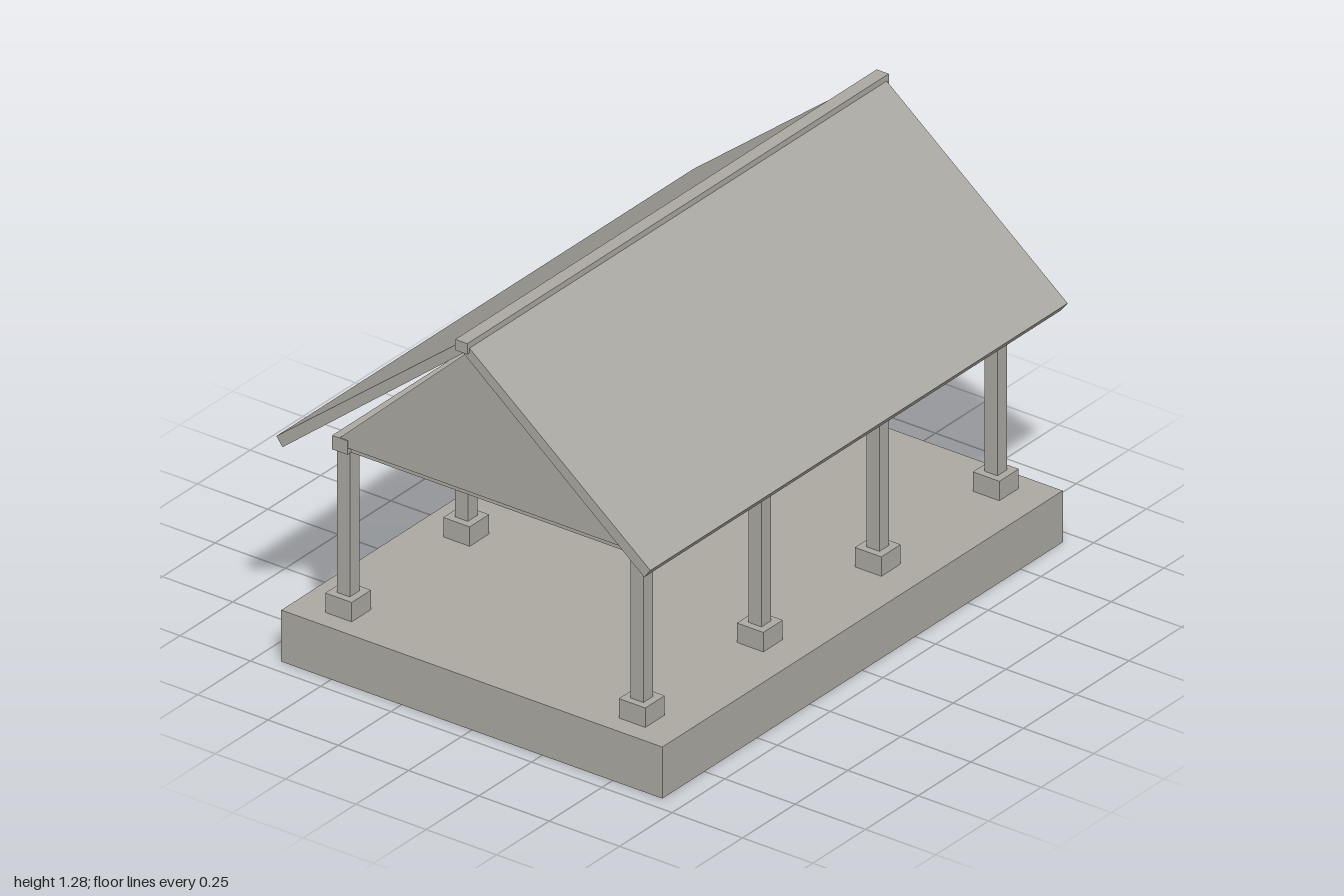
import * as THREE from 'three';

export function createModel() {
  const model = new THREE.Group();
  model.name = 'pavilion';
  const stone = new THREE.MeshStandardMaterial({ color: 0xaaa8a1 });
  stone.name = 'warm grey';

  const add = (name, geometry) => {
    const mesh = new THREE.Mesh(geometry, stone);
    mesh.name = name;
    model.add(mesh);
    return mesh;
  };

  // Box given by its centre in x and z, and its bottom and top in y
  const box = (name, x, z, y0, y1, w, d) =>
    add(name, new THREE.BoxGeometry(w, y1 - y0, d)).position.set(x, (y0 + y1) / 2, z);

  // Profile of [z, y] points, extruded along x and centred
  const alongX = (name, points, length) => {
    const shape = new THREE.Shape(points.map(([z, y]) => new THREE.Vector2(-z, y)));
    const geometry = new THREE.ExtrudeGeometry(shape, { depth: length, bevelEnabled: false });
    geometry.translate(0, 0, -length / 2).rotateY(Math.PI / 2);
    return add(name, geometry);
  };

  // Floor slab
  box('base', 0, 0, 0, 0.167, 1.9, 1.355);

  // Four frames, each with two footed columns and a cross beam
  const columnZ = 0.522;
  for (const x of [-0.84, -0.28, 0.28, 0.84]) {
    for (const side of [-1, 1]) {
      box('footing', x, side * columnZ, 0.167, 0.23, 0.092, 0.094);
      box('column', x, side * columnZ, 0.23, 0.715, 0.046, 0.046);
    }
    box('crossBeam', x, 0, 0.7, 0.74, 0.046, 1.09);
  }

  // Long beams over the columns
  for (const side of [-1, 1]) box('longBeam', 0, side * columnZ, 0.7, 0.745, 1.76, 0.054);

  // Closed gable body beneath the roof
  alongX('gable', [[-0.55, 0.72], [0.55, 0.72], [0, 1.235]], 1.755);

  // Sloping roof panels, mirrored about the ridge
  for (const s of [-1, 1]) {
    alongX('roofPanel', [[0, 1.28], [s * 0.665, 0.753], [s * 0.643, 0.724], [0, 1.24]], 1.98);
  }

  // Ridge cap
  box('ridgeCap', 0, 0, 1.247, 1.282, 2, 0.043);

  return model;
}
